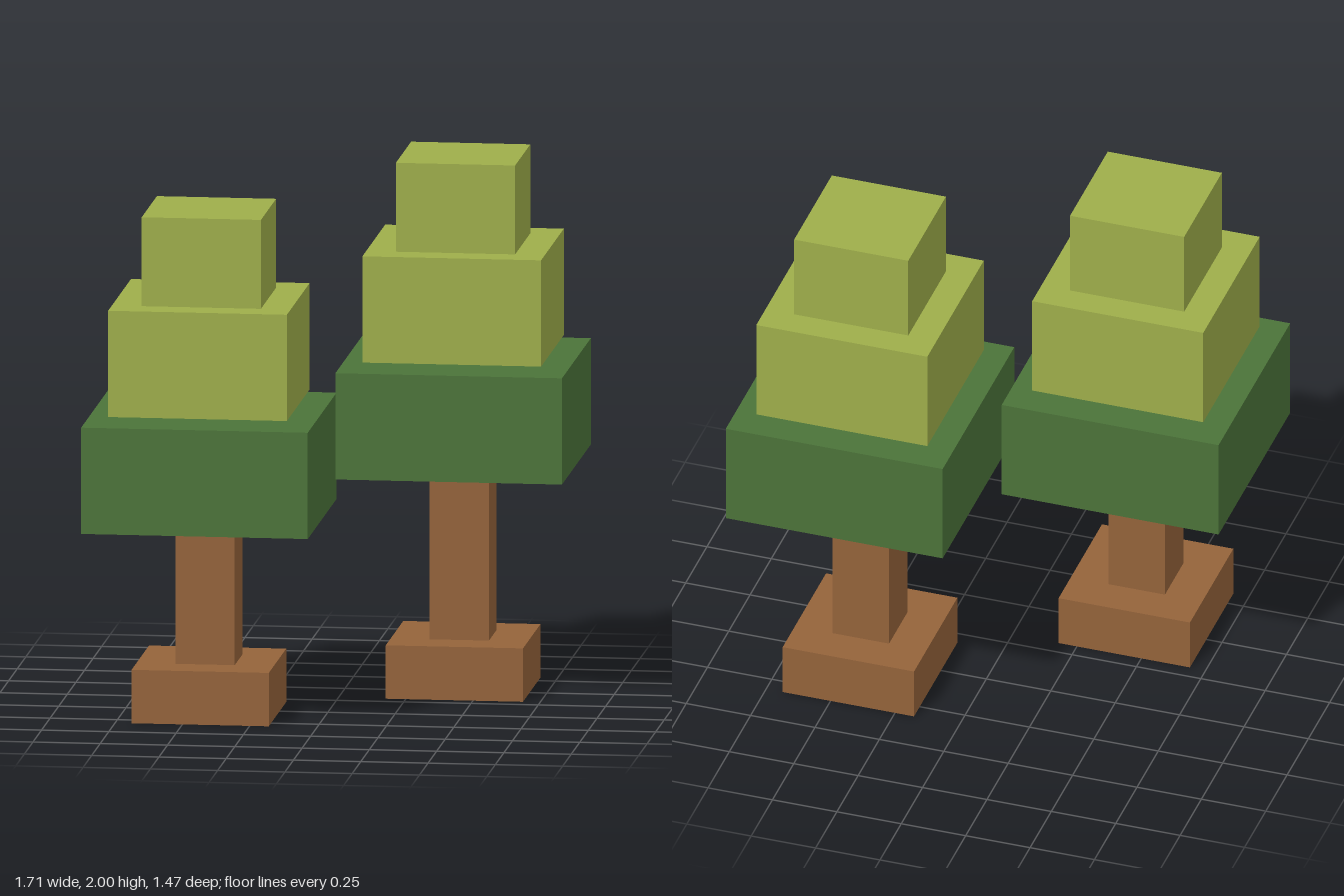
import * as THREE from 'three';

const bark = new THREE.MeshStandardMaterial({ color: 0x94633a, flatShading: true });
const darkLeaf = new THREE.MeshStandardMaterial({ color: 0x4b7339, flatShading: true });
const lightLeaf = new THREE.MeshStandardMaterial({ color: 0x9eae4a, flatShading: true });

// Square block standing on height y
function block(name, width, height, y, material) {
  const mesh = new THREE.Mesh(new THREE.BoxGeometry(width, height, width), material);
  mesh.name = name;
  mesh.position.y = y + height / 2;
  return mesh;
}

// One tree; lift raises the whole crown
function tree(name, x, z, lift) {
  const group = new THREE.Group();
  group.name = name;
  group.position.set(x, 0, z);
  group.add(
    block('rootBlock', 0.51, 0.2, 0, bark),
    block('trunk', 0.22, 1.0, 0.2, bark),
    block('lowerFoliage', 0.842, 0.398, 0.735 + lift, darkLeaf),
    block('middleFoliage', 0.664, 0.398, 1.159 + lift, lightLeaf),
    block('topFoliage', 0.443, 0.333, 1.557 + lift, lightLeaf)
  );
  return group;
}

export function createModel() {
  const model = new THREE.Group();
  model.name = 'blockTrees';
  model.add(
    tree('shortTree', -0.434, 0.312, 0),
    tree('tallTree', 0.431, -0.312, 0.112)
  );
  return model;
}
